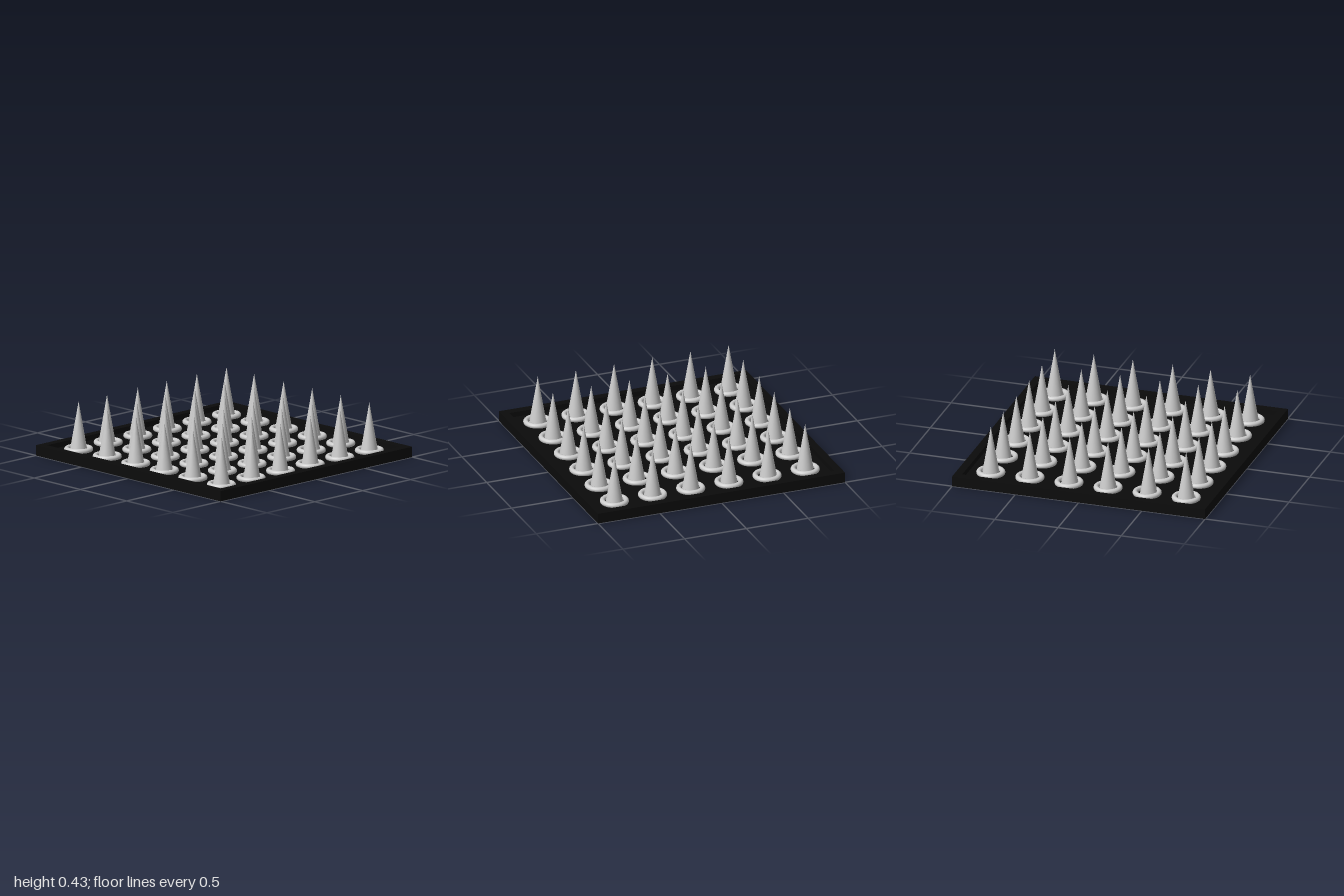
import * as THREE from 'three';

const COUNT = 6, PITCH = 0.309, SHIFT = 0.003;
const FLOOR = 0.04, RIM_TOP = 0.08, RIM_WIDTH = 0.06, TIP = 0.425;

// Spikes that sit slightly off-centre in their collars: 'column,row': [dx, dz]
const LOOSE = {
  '1,0': [-0.01, 0], '1,1': [-0.007, 0.004], '1,2': [-0.01, 0.004],
  '1,3': [-0.006, 0.007], '0,2': [0, 0.006], '0,4': [0, 0.012],
  '4,1': [0.006, 0], '4,3': [0, 0.006], '5,3': [0, 0.006], '5,4': [0.003, -0.005],
};

export function createModel() {
  const model = new THREE.Group();
  const black = new THREE.MeshStandardMaterial({ color: 0x0b0b0b });
  const grey = new THREE.MeshStandardMaterial({ color: 0xcccccc });

  const add = (name, geometry, material, x, y, z) => {
    const mesh = new THREE.Mesh(geometry, material);
    mesh.name = name;
    mesh.position.set(x, y, z);
    model.add(mesh);
    return mesh;
  };

  // Tray floor
  add('trayFloor', new THREE.BoxGeometry(2 - RIM_WIDTH, FLOOR, 2 - RIM_WIDTH), black, 0, FLOOR / 2, 0);

  // Raised rim: square frame with a square opening
  const square = (path, h) => path.moveTo(-h, -h).lineTo(h, -h).lineTo(h, h).lineTo(-h, h).closePath();
  const frame = new THREE.Shape();
  square(frame, 1);
  const opening = new THREE.Path();
  square(opening, 1 - RIM_WIDTH);
  frame.holes.push(opening);
  const rim = new THREE.ExtrudeGeometry(frame, { depth: RIM_TOP, bevelEnabled: false });
  rim.rotateX(-Math.PI / 2);
  add('trayRim', rim, black, 0, 0, 0);

  // Rows of collars, each holding a spike
  const collar = new THREE.TorusGeometry(0.09, 0.02, 12, 40).rotateX(Math.PI / 2);
  const height = TIP - 0.02;
  const spike = new THREE.ConeGeometry(0.07, height, 40, 1).translate(0, height / 2, 0);
  for (let row = 0; row < COUNT; row++) {
    for (let col = 0; col < COUNT; col++) {
      const x = (col - (COUNT - 1) / 2) * PITCH + SHIFT;
      const z = (row - (COUNT - 1) / 2) * PITCH + SHIFT;
      const [dx, dz] = LOOSE[`${col},${row}`] ?? [0, 0];
      add('collar', collar, grey, x, 0.053, z);
      add('spike', spike, grey, x + dx, 0.02, z + dz);
    }
  }
  return model;
}
